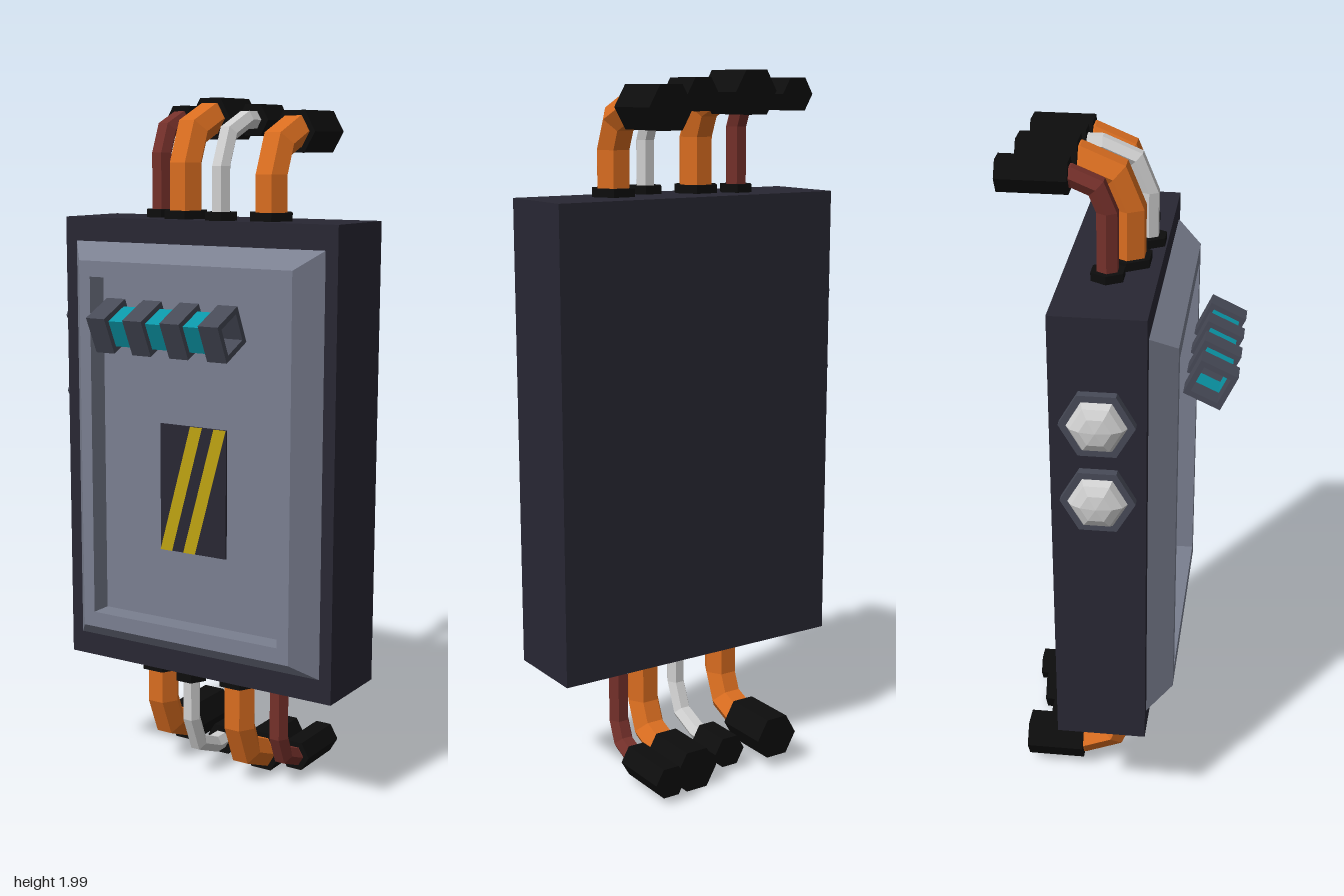
import * as THREE from 'three';

const mat = (name, color) => {
  const m = new THREE.MeshStandardMaterial({ color });
  m.name = name;
  return m;
};

// Flat facets for low-poly parts
function facet(geo) {
  const g = geo.index ? geo.toNonIndexed() : geo;
  g.computeVertexNormals();
  return g;
}

// Skin a list of equal-length loops, closing the last one
function loft(loops) {
  const pos = [];
  const n = loops[0].length;
  const tri = (...pts) => pts.forEach((p) => pos.push(...p));
  for (let k = 0; k < loops.length - 1; k++) {
    const a = loops[k], b = loops[k + 1];
    for (let i = 0; i < n; i++) {
      const j = (i + 1) % n;
      tri(a[i], a[j], b[j]);
      tri(a[i], b[j], b[i]);
    }
  }
  const end = loops[loops.length - 1];
  for (let i = 1; i < n - 1; i++) tri(end[0], end[i], end[i + 1]);
  const g = new THREE.BufferGeometry();
  g.setAttribute('position', new THREE.Float32BufferAttribute(pos, 3));
  return facet(g);
}

// Six-sided cylinder standing on y, corners at left and right
const hexRod = (r, h) => facet(new THREE.CylinderGeometry(r, r, h, 6).rotateY(Math.PI / 6));

// Hollow square tube running along x
function squareTube(outer, inner, length) {
  const square = (Type, s) => {
    const h = s / 2;
    return new Type([[-h, -h], [h, -h], [h, h], [-h, h]].map(([x, y]) => new THREE.Vector2(x, y)));
  };
  const shape = square(THREE.Shape, outer);
  shape.holes.push(square(THREE.Path, inner));
  return new THREE.ExtrudeGeometry(shape, { depth: length, bevelEnabled: false })
    .translate(0, 0, -length / 2).rotateY(Math.PI / 2);
}

export function createModel() {
  const root = new THREE.Group();
  const colors = {
    casing: mat('dark casing', 0x282733),
    panel: mat('grey panel', 0x7a7f90),
    bracket: mat('bracket grey', 0x474a57),
    teal: mat('teal light', 0x0b97a8),
    orange: mat('orange cable', 0xd96d20),
    red: mat('dark red cable', 0x74302a),
    white: mat('white cable', 0xcfcfcf),
    black: mat('black rubber', 0x0d0d0d),
    yellow: mat('warning yellow', 0xbfa312),
  };
  const add = (parent, name, geo, material, x = 0, y = 0, z = 0) => {
    const m = new THREE.Mesh(geo, material);
    m.name = name;
    m.position.set(x, y, z);
    parent.add(m);
    return m;
  };

  // Main casing
  add(root, 'casing', new THREE.BoxGeometry(0.888, 1.315, 0.252), colors.casing, 0.031, 1.0075, -0.031);

  // Bevelled door with a raised rim and a recessed floor
  const rect = (w, h, z) => [[-w, -h, z], [w, -h, z], [w, h, z], [-w, h, z]];
  add(root, 'doorPanel', loft([
    rect(0.407, 0.59, 0.095), rect(0.347, 0.54, 0.165),
    rect(0.31, 0.495, 0.165), rect(0.31, 0.495, 0.1),
  ]), colors.panel, 0.031, 1.007, 0);

  // Warning plate with two slanted stripes
  const sign = new THREE.Group();
  sign.name = 'warningSign';
  root.add(sign);
  add(sign, 'signPlate', new THREE.BoxGeometry(0.22, 0.37, 0.006), colors.casing, 0.03, 0.905, 0.103);
  for (const x of [-0.08, -0.002]) {
    const s = new THREE.Shape([[0, 0], [0.04, 0], [0.142, 0.37], [0.102, 0.37]]
      .map(([px, py]) => new THREE.Vector2(px, py)));
    add(sign, 'signStripe', new THREE.ShapeGeometry(s), colors.yellow, x, 0.72, 0.108);
  }

  // Tilted light bar held by four square brackets
  const bar = new THREE.Group();
  bar.name = 'lightBar';
  bar.position.set(0.029, 1.378, 0.24);
  bar.rotation.x = 0.44;
  root.add(bar);
  for (let i = 0; i < 4; i++) {
    add(bar, 'lightBracket', squareTube(0.11, 0.079, 0.061), colors.bracket, (i - 1.5) * 0.121);
    if (i < 3) add(bar, 'lightTube', squareTube(0.08, 0.077, 0.062), colors.teal, (i - 1) * 0.121);
  }

  // Side lamps on hexagonal mounts
  const profile = [[0.08, 0], [0.068, 0.02], [0.042, 0.034], [0, 0.04]].map((p) => new THREE.Vector2(...p));
  for (const y of [1.375, 1.15]) {
    const lamp = new THREE.Group();
    lamp.name = 'sideLamp';
    lamp.position.set(-0.413, y, -0.03);
    lamp.rotation.z = Math.PI / 2;
    root.add(lamp);
    add(lamp, 'lampMount', facet(new THREE.CylinderGeometry(0.1, 0.1, 0.03, 6)), colors.bracket, 0, 0.01, 0);
    add(lamp, 'lampDome', facet(new THREE.LatheGeometry(profile, 6)), colors.white, 0, 0.024, 0);
  }

  // Cables: colour, x, z at the casing, height of the plug, cable and plug radius, plug start and end
  const cables = [
    ['red', -0.165, -0.035, 1.937, 0.031, 0.049, -0.13, -0.315],
    ['orange', -0.056, 0.007, 1.942, 0.05, 0.067, -0.12, -0.28],
    ['white', 0.086, 0.047, 1.937, 0.028, 0.05, -0.12, -0.24],
    ['orange', 0.218, 0.0, 1.905, 0.05, 0.067, -0.12, -0.29],
  ];
  function cableSet(name) {
    const set = new THREE.Group();
    set.name = name;
    for (const [color, x, z, y, r, plugR, z1, z2] of cables) {
      const bend = Math.min(0.125, z - z1 - 0.005);
      const ring = (cy, cz, a) => Array.from({ length: 6 }, (_, i) => {
        const t = (i * Math.PI) / 3;
        const d = r * Math.sin(t);
        return [r * Math.cos(t), cy - d * Math.sin(a), cz - d * Math.cos(a)];
      });
      const loops = [ring(1.66, z, 0)];
      for (let k = 0; k < 3; k++) {
        const a = (k * Math.PI) / 4;
        loops.push(ring(y - bend + bend * Math.sin(a), z - bend + bend * Math.cos(a), a));
      }
      loops.push(ring(y, z1 - 0.02, Math.PI / 2));
      add(set, color + 'Cable', loft(loops), colors[color], x);
      add(set, 'cableCollar', hexRod(plugR, 0.03), colors.black, x, 1.673, z);
      add(set, 'cablePlug', hexRod(plugR, z1 - z2).rotateX(Math.PI / 2), colors.black, x, y, (z1 + z2) / 2);
    }
    root.add(set);
    return set;
  }
  cableSet('topCables');

  // The lower cables are the upper ones turned half round
  const lower = cableSet('bottomCables');
  lower.rotation.z = Math.PI;
  lower.position.set(0.073, 2.01, 0);

  return root;
}
